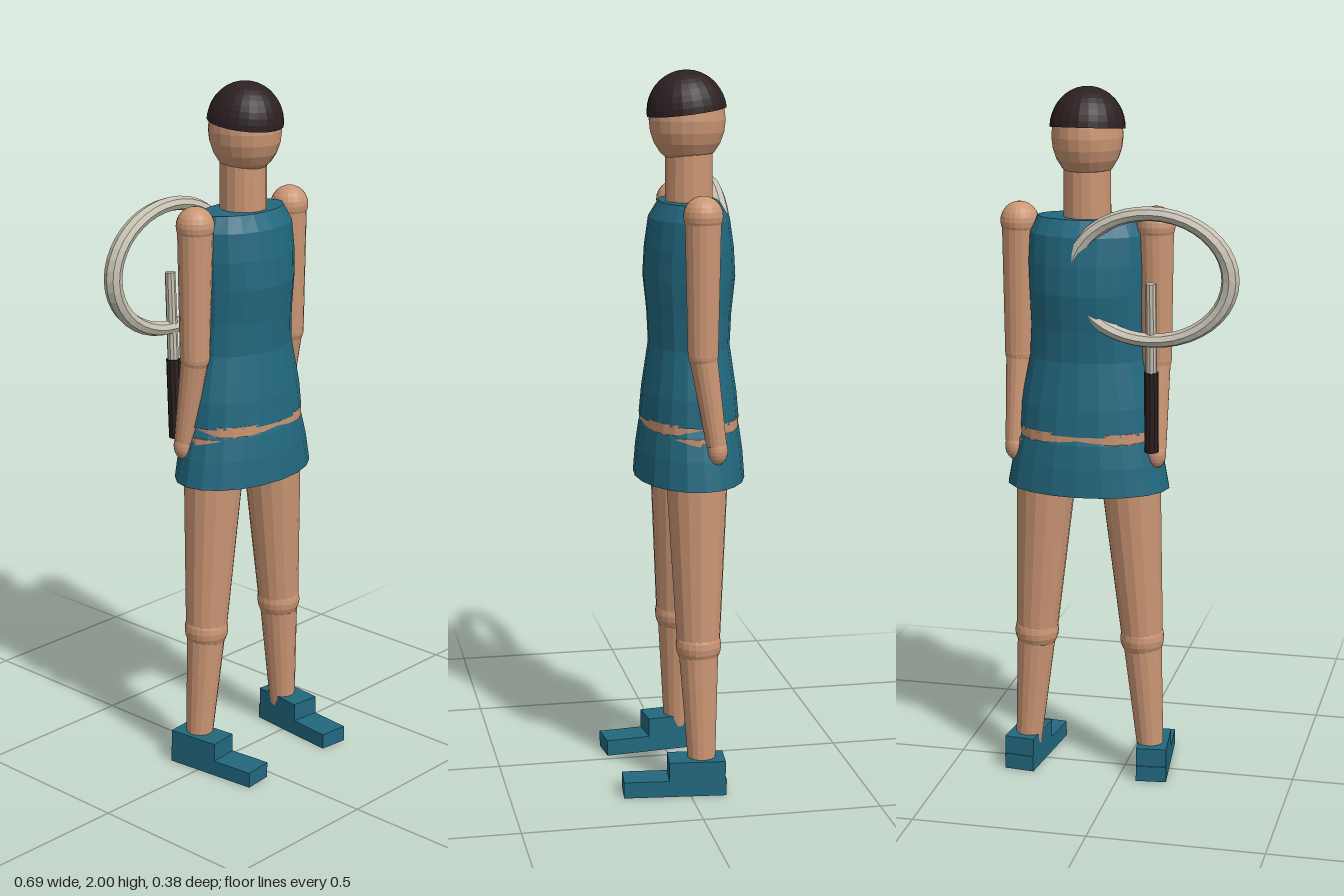
import * as THREE from 'three';

const material = (name, color, side = THREE.FrontSide) => {
  const m = new THREE.MeshStandardMaterial({ color, side, flatShading: true });
  m.name = name;
  return m;
};

// Stack of elliptical rings [y, rx, rz], listed upwards; power < 1 squares the outline
function loft(rings, power = 1, sides = 20) {
  const pos = [], index = [];
  const bend = v => Math.sign(v) * Math.abs(v) ** power;
  for (const [y, rx, rz] of rings)
    for (let j = 0; j < sides; j++) {
      const t = (j / sides) * Math.PI * 2;
      pos.push(rx * bend(Math.cos(t)), y, rz * bend(Math.sin(t)));
    }
  for (let i = 0; i < rings.length - 1; i++)
    for (let j = 0; j < sides; j++) {
      const a = i * sides + j, b = i * sides + (j + 1) % sides;
      index.push(a, a + sides, b, b, a + sides, b + sides);
    }
  const g = new THREE.BufferGeometry();
  g.setAttribute('position', new THREE.Float32BufferAttribute(pos, 3));
  g.setIndex(index);
  g.computeVertexNormals();
  return g;
}

export function createModel() {
  const model = new THREE.Group();
  model.name = 'racketPlayer';
  const skin = material('skin', 0xcb9674);
  const cloth = material('tealCloth', 0x22687f, THREE.DoubleSide);
  const dark = material('darkBrown', 0x2c2022);
  const frame = material('racketFrame', 0xc6c1b2);

  // The figure stands off-centre because the racket reaches out to its right
  const body = new THREE.Group();
  body.name = 'body';
  body.position.set(0.099, 0, -0.037);
  model.add(body);

  const add = (parent, name, geometry, mat, x = 0, y = 0, z = 0) => {
    const mesh = new THREE.Mesh(geometry, mat);
    mesh.name = name;
    mesh.position.set(x, y, z);
    parent.add(mesh);
    return mesh;
  };
  const ball = (parent, name, r, mat, p) =>
    add(parent, name, new THREE.SphereGeometry(r, 20, 12), mat, ...p);
  // Tapered rod from point a (radius ra) to point b (radius rb)
  const rod = (parent, name, a, b, ra, rb, mat, sides = 16) => {
    const from = new THREE.Vector3(...a), to = new THREE.Vector3(...b);
    const dir = to.clone().sub(from);
    const mesh = add(parent, name, new THREE.CylinderGeometry(rb, ra, dir.length(), sides), mat);
    mesh.position.copy(from).add(to).multiplyScalar(0.5);
    mesh.quaternion.setFromUnitVectors(new THREE.Vector3(0, 1, 0), dir.normalize());
  };

  // Head, hair and neck
  const head = ball(body, 'head', 1, skin, [0, 1.866, 0.005]);
  head.scale.set(0.099, 0.125, 0.106);
  const hair = add(body, 'hair',
    new THREE.SphereGeometry(1, 24, 10, 0, Math.PI * 2, 0, Math.PI / 2), dark, 0, 1.887, 0.006);
  hair.scale.set(0.104, 0.113, 0.11);
  hair.rotation.x = 0.12;
  rod(body, 'neck', [0, 1.62, 0], [0, 1.79, 0], 0.067, 0.066, skin);

  // Sleeveless top, hips and skirt
  add(body, 'top', loft([
    [1.045, 0, 0], [1.045, 0.201, 0.137], [1.12, 0.194, 0.13], [1.25, 0.167, 0.111],
    [1.34, 0.162, 0.116], [1.44, 0.165, 0.127], [1.52, 0.168, 0.122], [1.6, 0.164, 0.11],
    [1.645, 0.142, 0.082], [1.645, 0, 0]]), cloth);
  add(body, 'hips', loft([
    [0.98, 0, 0], [0.98, 0.18, 0.12], [1.025, 0.194, 0.134], [1.052, 0.194, 0.134],
    [1.056, 0, 0]], 0.9, 24), skin);
  add(body, 'skirt', loft([
    [0.875, 0.235, 0.153], [0.955, 0.22, 0.147], [1.02, 0.202, 0.138], [1.04, 0.194, 0.132]]), cloth);

  // Arms, legs and shoes for each side
  for (const s of [-1, 1]) {
    const side = s < 0 ? 'right' : 'left';
    const limb = new THREE.Group();
    limb.name = side + 'Limbs';
    body.add(limb);

    const shoulder = [s * 0.194, 1.625, 0], elbow = [s * 0.198, 1.25, 0], wrist = [s * 0.205, 1.0, -0.037];
    ball(limb, side + 'Shoulder', 0.054, skin, shoulder);
    rod(limb, side + 'UpperArm', shoulder, elbow, 0.05, 0.042, skin);
    ball(limb, side + 'Elbow', 0.042, skin, elbow);
    rod(limb, side + 'Forearm', elbow, wrist, 0.039, 0.028, skin);
    const hand = ball(limb, side + 'Hand', 0.028, skin, [s * 0.205, 0.985, -0.04]);
    hand.scale.y = 1.45;

    const hip = [s * 0.115, 1.01, 0], knee = [s * 0.157, 0.42, 0.002], ankle = [s * 0.184, 0.07, -0.003];
    rod(limb, side + 'Thigh', hip, knee, 0.092, 0.06, skin);
    ball(limb, side + 'Knee', 0.064, skin, knee);
    rod(limb, side + 'Shin', knee, ankle, 0.057, 0.038, skin);

    const shoe = new THREE.Group();
    shoe.name = side + 'Shoe';
    shoe.position.set(s * 0.183, 0, 0.076);
    shoe.rotation.y = -s * 0.105;
    limb.add(shoe);
    add(shoe, 'sole', new THREE.BoxGeometry(0.088, 0.046, 0.288), cloth, 0, 0.023, 0);
    add(shoe, 'ankleCuff', new THREE.BoxGeometry(0.088, 0.054, 0.158), cloth, 0, 0.073, -0.062);
  }

  // Racket carried behind the right arm
  const racket = new THREE.Group();
  racket.name = 'racket';
  model.add(racket);
  const hoop = add(racket, 'hoop', new THREE.TorusGeometry(0.194, 0.022, 8, 40), frame, -0.1, 1.497, -0.13);
  hoop.scale.set(1.135, 0.905, 1.15);
  rod(racket, 'shaft', [-0.1, 1.2, -0.12], [-0.1, 1.48, -0.13], 0.016, 0.015, frame, 10);
  rod(racket, 'grip', [-0.1, 1.0, -0.112], [-0.1, 1.23, -0.121], 0.02, 0.02, dark, 10);
  return model;
}
